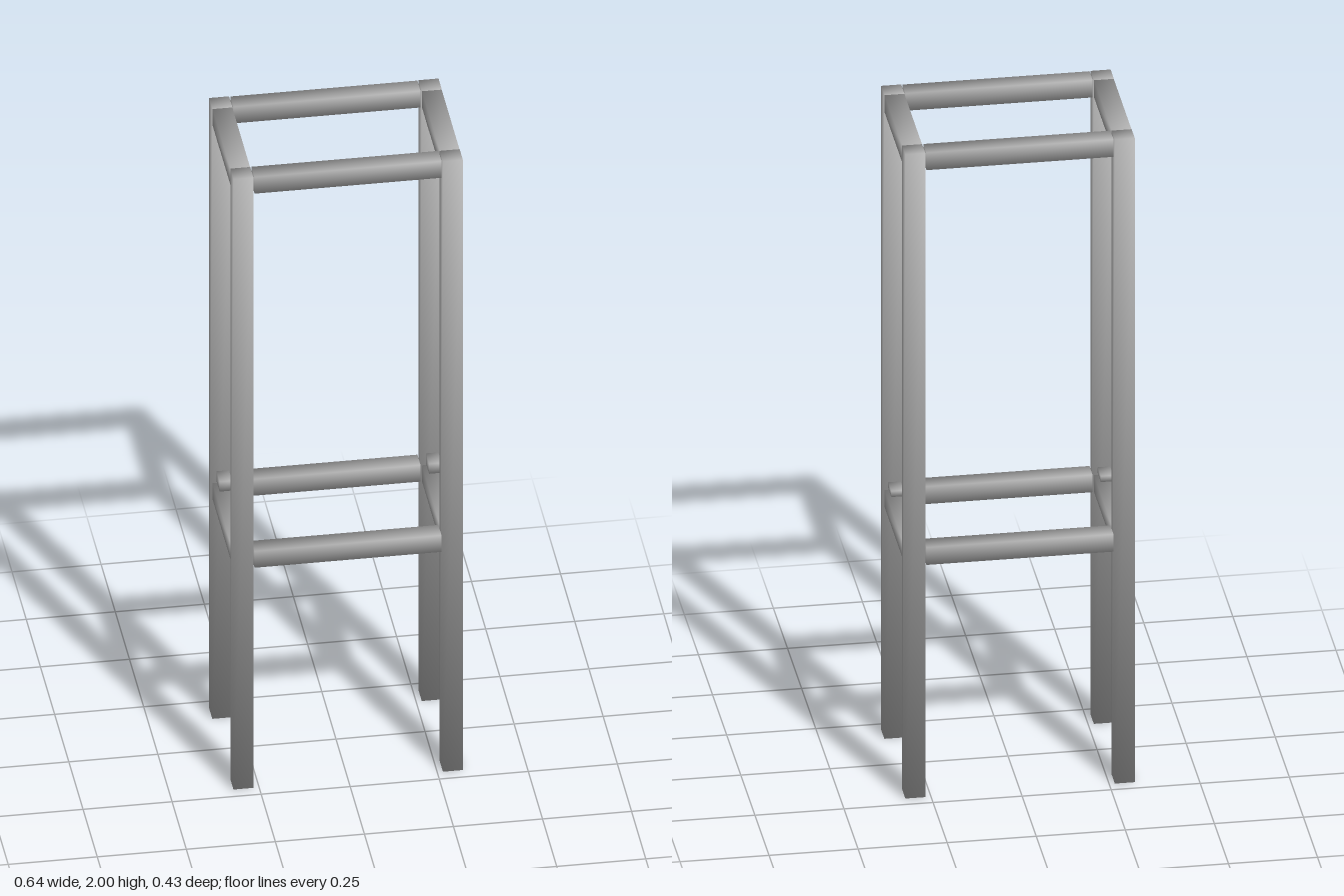
import * as THREE from 'three';

export function createModel() {
  const model = new THREE.Group();
  const steel = new THREE.MeshStandardMaterial({ color: 0xb4b4b4 });
  steel.name = 'light grey steel';

  // Box with smooth normals shared at its corners
  const box = (name, w, h, d, x, y, z, parent = model) => {
    const geometry = new THREE.BoxGeometry(w, h, d);
    const { position, normal } = geometry.attributes;
    const n = new THREE.Vector3();
    for (let i = 0; i < position.count; i++) {
      n.fromBufferAttribute(position, i);
      n.set(Math.sign(n.x), Math.sign(n.y), Math.sign(n.z)).normalize();
      normal.setXYZ(i, n.x, n.y, n.z);
    }
    const mesh = new THREE.Mesh(geometry, steel);
    mesh.name = name;
    mesh.position.set(x, y, z);
    parent.add(mesh);
  };

  const T = 0.056;             // square tube thickness
  const X = 0.294, Z = 0.186;  // post centre lines

  // Four full-height corner posts
  for (const sx of [-1, 1]) for (const sz of [-1, 1]) {
    box('cornerPost', T, 2, T, sx * X, 1, sz * Z);
  }

  // Upper and lower rail frames, fitted between the posts with a hairline gap
  for (const [level, y] of [['upper', 1.973], ['lower', 0.747]]) {
    const frame = new THREE.Group();
    frame.name = level + 'Frame';
    for (const s of [-1, 1]) {
      box('longRail', 0.525, 0.054, 0.055, 0, y, s * 0.185, frame);
      box('sideRail', 0.055, 0.054, 0.311, s * X, y, 0, frame);
    }
    model.add(frame);
  }

  // Small mounting lugs on the facing sides of the side rails
  for (const sx of [-1, 1]) for (const [level, rail, dir] of [['upper', 1.946, -1], ['lower', 0.774, 1]]) {
    const lugs = new THREE.Group();
    lugs.name = level + 'Lugs';
    // front lug: thin plate on a short stem
    box('frontLugPlate', 0.035, 0.018, 0.056, sx * X, rail + dir * 0.014, 0.128, lugs);
    box('frontLugStem', 0.02, 0.012, 0.022, sx * X, rail + dir * 0.003, 0.142, lugs);
    // rear lug: taller block on a short stem
    box('rearLugBlock', 0.035, 0.032, 0.056, sx * X, rail + dir * 0.025, -0.123, lugs);
    box('rearLugStem', 0.02, 0.014, 0.022, sx * X, rail + dir * 0.005, -0.138, lugs);
    model.add(lugs);
  }

  return model;
}
